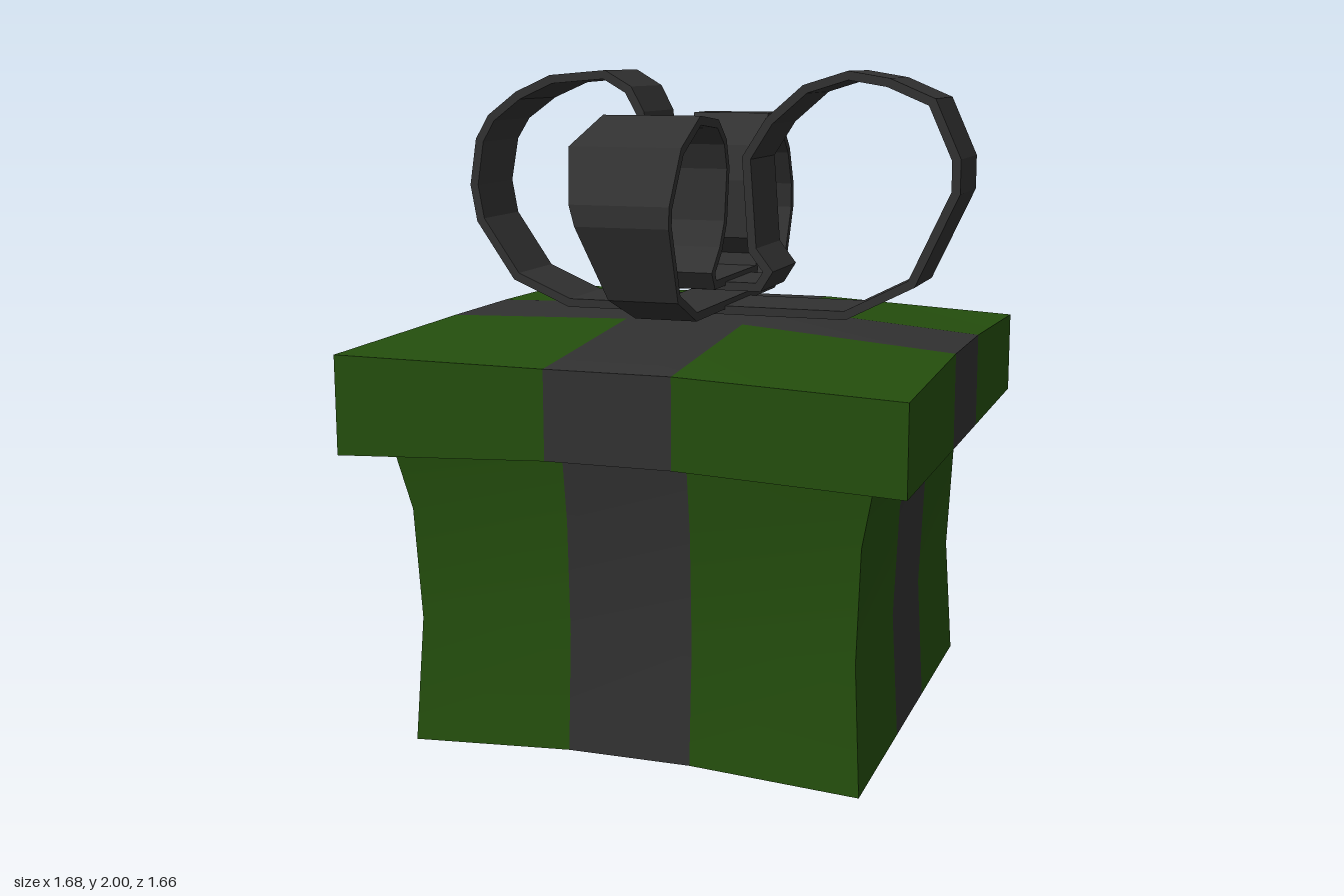
import * as THREE from 'three';
import { toCreasedNormals } from 'three/addons/utils/BufferGeometryUtils.js';

const green = new THREE.MeshStandardMaterial({ color: 0x244e0d });
const ribbon = new THREE.MeshStandardMaterial({ color: 0x313131 });

const clamp01 = (t) => Math.min(1, Math.max(0, t));

function addQuad(list, a, b, c, d) {
  list.push(...a, ...b, ...c, ...a, ...c, ...d);
}

function makeMesh(list, material, name, crease) {
  const geometry = new THREE.BufferGeometry();
  geometry.setAttribute('position', new THREE.Float32BufferAttribute(list, 3));
  const mesh = new THREE.Mesh(toCreasedNormals(geometry, crease), material);
  mesh.name = name;
  return mesh;
}

// Box of 3 x 3 columns; the middle row and column become the ribbon stripes.
// point(i, j, k) gives the corner at x index i, z index j, level k.
function stripedBox(name, levels, point) {
  const panels = [], stripes = [];
  const put = (mid, a, b, c, d) => addQuad(mid ? stripes : panels, a, b, c, d);
  const top = levels - 1;
  for (let i = 0; i < 3; i++) {
    for (let k = 0; k < top; k++) {
      const m = i === 1;
      put(m, point(i, 3, k), point(i + 1, 3, k), point(i + 1, 3, k + 1), point(i, 3, k + 1));
      put(m, point(i + 1, 0, k), point(i, 0, k), point(i, 0, k + 1), point(i + 1, 0, k + 1));
      put(m, point(3, i + 1, k), point(3, i, k), point(3, i, k + 1), point(3, i + 1, k + 1));
      put(m, point(0, i, k), point(0, i + 1, k), point(0, i + 1, k + 1), point(0, i, k + 1));
    }
    for (let j = 0; j < 3; j++) {
      const m = i === 1 || j === 1;
      put(m, point(i, j, top), point(i, j + 1, top), point(i + 1, j + 1, top), point(i + 1, j, top));
      put(m, point(i, j, 0), point(i + 1, j, 0), point(i + 1, j + 1, 0), point(i, j + 1, 0));
    }
  }
  const group = new THREE.Group();
  group.name = name;
  group.add(makeMesh(panels, green, name + 'Panels', 0.5), makeMesh(stripes, ribbon, name + 'Ribbon', 0.5));
  return group;
}

const isMid = (i) => i === 1 || i === 2;
const column = (i, half) => [-half, -0.187, 0.187, half][i];

// Closed ribbon band along a path of [u, y]; edges(u, y) gives its two sides.
function bowBand(name, path, edges, place) {
  const n = path.length, half = 0.013, list = [];
  const unit = (a, b) => new THREE.Vector2(b[0] - a[0], b[1] - a[1]).normalize();
  const rings = path.map((p, i) => {
    const d0 = unit(path[(i + n - 1) % n], p), d1 = unit(p, path[(i + 1) % n]);
    const t = d0.clone().add(d1).normalize();
    const s = half / Math.max(0.6, t.dot(d1));
    const ox = -t.y * s, oy = t.x * s;
    const [lo, hi] = edges(p[0], p[1]);
    return [
      place(p[0] + ox, p[1] + oy, lo), place(p[0] + ox, p[1] + oy, hi),
      place(p[0] - ox, p[1] - oy, hi), place(p[0] - ox, p[1] - oy, lo),
    ];
  });
  rings.forEach((a, i) => {
    const b = rings[(i + 1) % n];
    for (let k = 0; k < 4; k++) {
      const m = (k + 1) % 4;
      addQuad(list, a[k], a[m], b[m], b[k]);
    }
  });
  return makeMesh(list, ribbon, name, 0.05);
}

export function createModel() {
  const model = new THREE.Group();
  model.name = 'giftBox';

  // Box body with a pinched waist: [height, half width, half depth, height of the middle columns]
  const body = [
    [0, 0.688, 0.683, 0.03], [0.38, 0.667, 0.66, 0.38],
    [0.72, 0.682, 0.675, 0.72], [0.92, 0.725, 0.71, 0.96],
  ];
  model.add(stripedBox('body', body.length, (i, j, k) => {
    const [y, w, d, midY] = body[k];
    return [column(i, w), isMid(i) ? midY : y, column(j, d)];
  }));

  // Lid, slightly domed and uneven: top heights by z row, then x column
  const lidTop = [
    [1.2, 1.2, 1.2, 1.165],
    [1.23, 1.245, 1.245, 1.19],
    [1.23, 1.245, 1.245, 1.19],
    [1.2, 1.195, 1.195, 1.165],
  ];
  model.add(stripedBox('lid', 2, (i, j, k) => {
    const x = i === 0 && isMid(j) ? -0.77 : column(i, 0.838);
    let y = isMid(i) ? 0.935 : 0.905;
    if (i === 0 && j === 0) y = 0.86;
    return [x, k ? lidTop[j][i] : y, column(j, 0.83)];
  }));

  // Bow: two closed bands crossing at the centre
  const sidePath = [
    [-0.40, 1.278], [-0.58, 1.355], [-0.70, 1.53], [-0.72, 1.64], [-0.70, 1.78], [-0.66, 1.85],
    [-0.57, 1.92], [-0.46, 1.97], [-0.28, 1.985], [-0.20, 1.94], [-0.16, 1.87], [-0.145, 1.74],
    [-0.14, 1.58], [-0.15, 1.47], [-0.18, 1.39], [-0.16, 1.352],
    [0.22, 1.352], [0.25, 1.40], [0.20, 1.465], [0.18, 1.74], [0.25, 1.85], [0.36, 1.945],
    [0.49, 1.985], [0.61, 1.965], [0.74, 1.91], [0.815, 1.745], [0.815, 1.65], [0.69, 1.38], [0.49, 1.278],
  ];
  model.add(bowBand('sideBowLoops', sidePath,
    (x, y) => {
      // The right-hand loop bulges backwards at its crown
      const lift = clamp01((y - 1.65) / 0.3) * clamp01(1 - Math.abs(x + 0.45) / 0.45);
      return [-0.125 - 0.055 * lift, 0.133 - 0.02 * lift];
    },
    (u, y, w) => [u, y, w]));

  const frontBackPath = [
    [0.40, 1.294], [0.56, 1.365], [0.65, 1.575], [0.65, 1.63], [0.56, 1.78], [0.40, 1.86],
    [0.24, 1.845], [0.17, 1.79], [0.14, 1.71], [0.15, 1.55], [0.19, 1.47], [0.255, 1.405], [0.23, 1.367],
    [-0.19, 1.367], [-0.21, 1.42], [-0.165, 1.475], [-0.165, 1.65], [-0.2, 1.755], [-0.285, 1.848],
    [-0.405, 1.848], [-0.525, 1.73], [-0.58, 1.62], [-0.59, 1.535], [-0.535, 1.38], [-0.405, 1.294],
  ];
  model.add(bowBand('frontBackBowLoops', frontBackPath,
    (z, y) => {
      // Both loops flare towards -x; the front one flares most at its outer end
      const lift = clamp01((y - 1.3) / 0.45);
      const flare = z > 0 ? 0.02 + 0.115 * clamp01((z - 0.1) / 0.45) : 0.05 * clamp01((-z - 0.12) / 0.15);
      return [-0.115 - 0.012 * lift, 0.075 + flare * lift];
    },
    (u, y, w) => [-w, y, u]));

  return model;
}
